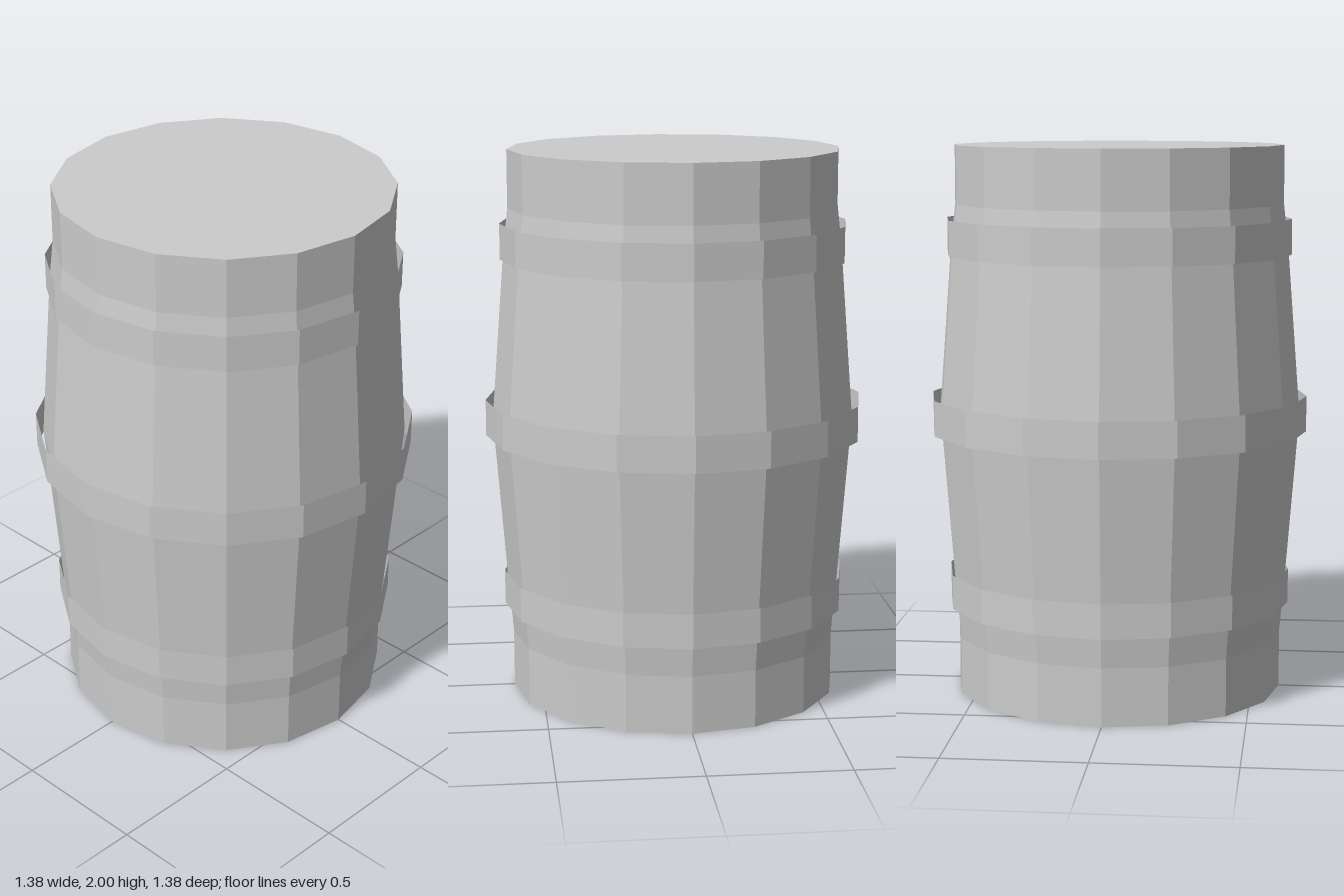
import * as THREE from 'three';

const SIDES = 16;

export function createModel() {
  const group = new THREE.Group();
  group.name = 'barrel';
  const material = new THREE.MeshStandardMaterial({
    color: 0xcccccc, flatShading: true, side: THREE.DoubleSide,
  });

  // Turns a bottom-to-top profile of [radius, y] into a faceted open shell
  const addShell = (name, profile) => {
    const points = profile.map(([r, y]) => new THREE.Vector2(r, y));
    const mesh = new THREE.Mesh(new THREE.LatheGeometry(points, SIDES), material);
    mesh.name = name;
    group.add(mesh);
  };

  // Bulging staves, open at the bottom
  addShell('staves', [
    [0.6, 0], [0.6, 0.21], [0.617, 0.4], [0.665, 1.02],
    [0.617, 1.64], [0.6, 1.79], [0.6, 2],
  ]);

  // Flat lid
  const lid = new THREE.Mesh(new THREE.CircleGeometry(0.6, SIDES), material);
  lid.name = 'lid';
  lid.rotation.x = -Math.PI / 2;
  lid.position.y = 2;
  group.add(lid);

  // Thin hoops standing slightly off the staves
  const hoops = [
    ['lowerHoop', 0.63, 0.32, 0.445],
    ['middleHoop', 0.69, 0.96, 1.09],
    ['upperHoop', 0.63, 1.605, 1.735],
  ];
  for (const [name, r, bottom, top] of hoops) addShell(name, [[r, bottom], [r, top]]);

  return group;
}
